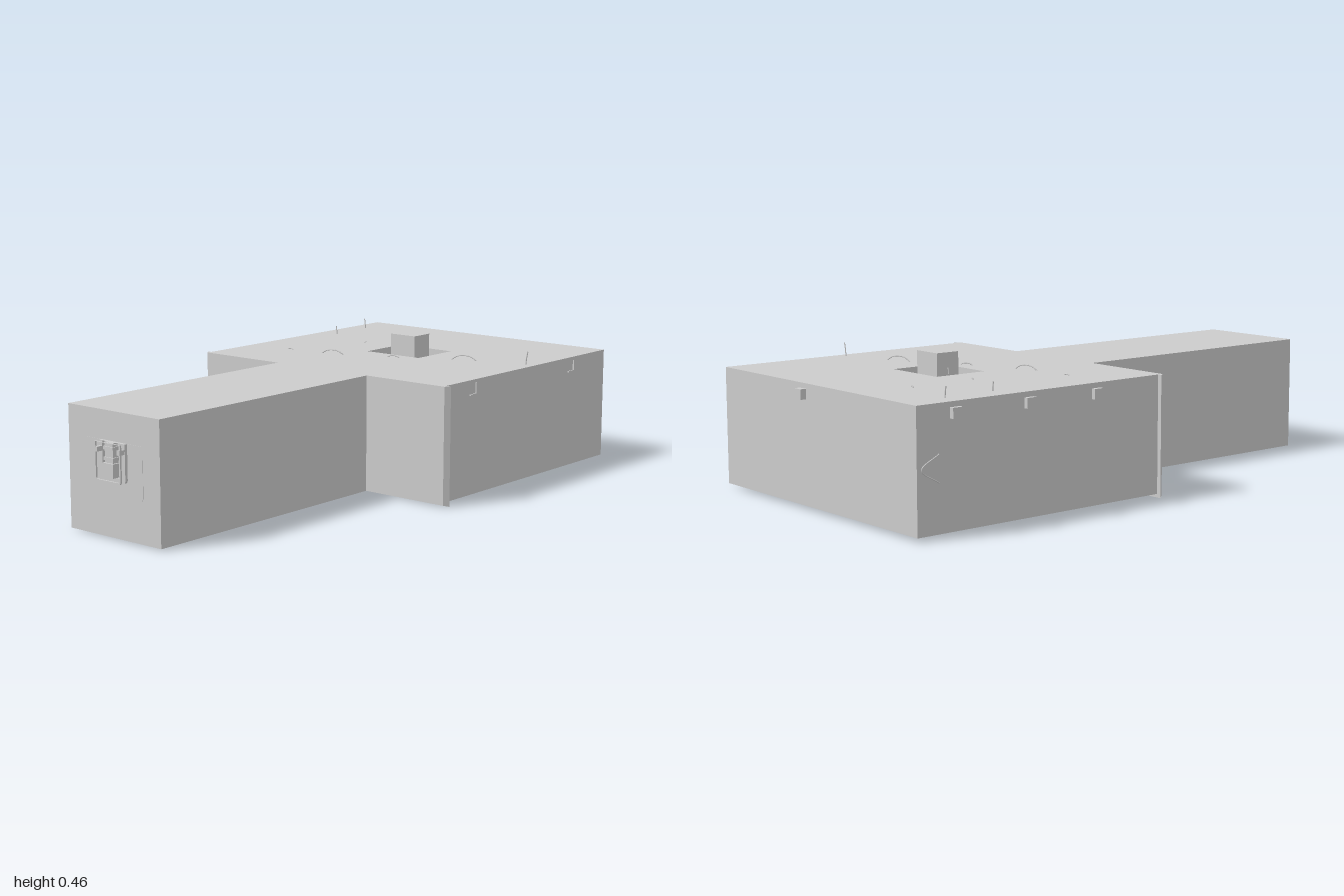
import * as THREE from 'three';

const material = new THREE.MeshStandardMaterial({ color: 0xcccccc, flatShading: true });
const smooth = new THREE.MeshStandardMaterial({ color: 0xcccccc });

export function createModel() {
  const model = new THREE.Group();
  const add = (name, geometry, mat = material) => {
    const mesh = new THREE.Mesh(geometry, mat);
    mesh.name = name;
    model.add(mesh);
    return mesh;
  };
  // Box given by its limits on each axis
  const box = (name, x0, x1, y0, y1, z0, z1) => {
    const mesh = add(name, new THREE.BoxGeometry(x1 - x0, y1 - y0, z1 - z0));
    mesh.position.set((x0 + x1) / 2, (y0 + y1) / 2, (z0 + z1) / 2);
    return mesh;
  };
  // Thin wire through a few points
  const wire = (name, points, radius = 0.002) => {
    const curve = new THREE.CatmullRomCurve3(points.map(p => new THREE.Vector3(...p)));
    return add(name, new THREE.TubeGeometry(curve, 16, radius, 6), smooth);
  };
  const rect = (path, x0, x1, y0, y1) =>
    path.moveTo(x0, y0).lineTo(x1, y0).lineTo(x1, y1).lineTo(x0, y1).closePath();
  // Plate outline with rounded lower corners
  const pocket = (path, x0, x1, y0, y1, r) => path
    .moveTo(x0, y1).lineTo(x0, y0 + r).quadraticCurveTo(x0, y0, x0 + r, y0)
    .lineTo(x1 - r, y0).quadraticCurveTo(x1, y0, x1, y0 + r).lineTo(x1, y1).closePath();
  const plate = (name, shape, depth, z) => {
    const g = new THREE.ExtrudeGeometry(shape, { depth, bevelEnabled: false, curveSegments: 5 });
    add(name, g).position.z = z;
  };

  // Main block with a square well in its roof
  const footprint = rect(new THREE.Shape(), -0.525, 0.522, 0.02, 0.98);
  footprint.holes.push(rect(new THREE.Path(), -0.107, 0.122, 0.4, 0.592));
  const block = new THREE.ExtrudeGeometry(footprint, { depth: 0.388, bevelEnabled: false });
  block.rotateX(-Math.PI / 2);
  add('mainBlock', block).position.y = 0.012;
  box('wellFloor', -0.107, 0.122, 0.012, 0.25, -0.592, -0.4);
  box('roofColumn', -0.044, 0.062, 0.25, 0.464, -0.542, -0.456);

  // Front wall plate, bevelled at the sides and the bottom
  const wall = new THREE.BoxGeometry(1.08, 0.4, 0.018);
  const p = wall.attributes.position;
  for (let i = 0; i < p.count; i++) {
    if (p.getZ(i) < 0) continue;
    p.setX(i, p.getX(i) * 0.976);
    if (p.getY(i) < 0) p.setY(i, -0.195);
  }
  wall.computeVertexNormals();
  add('frontWall', wall).position.set(0, 0.2, -0.016);

  // Long front wing
  box('frontWing', -0.19, 0.205, 0.005, 0.4, -0.02, 0.965);

  // Latch on the end of the wing
  plate('latchPanel', pocket(new THREE.Shape(), -0.108, 0.133, 0.136, 0.307, 0.018), 0.002, 0.964);
  const cup = pocket(new THREE.Shape(), -0.044, 0.068, 0.185, 0.307, 0.01);
  cup.holes.push(pocket(new THREE.Path(), -0.03, 0.054, 0.199, 0.3065, 0.008));
  plate('latchFrame', cup, 0.01, 0.966);
  const rim = pocket(new THREE.Shape(), -0.044, 0.068, 0.185, 0.307, 0.01);
  rim.holes.push(pocket(new THREE.Path(), -0.039, 0.063, 0.19, 0.3065, 0.008));
  plate('latchRim', rim, 0.006, 0.99);
  for (const x of [-0.036, 0.06]) box('latchLug', x - 0.006, x + 0.006, 0.275, 0.29, 0.966, 0.997);
  box('latchGrip', -0.011, 0.035, 0.2, 0.244, 0.966, 0.995);
  box('latchStem', -0.005, 0.029, 0.244, 0.307, 0.966, 0.988);
  for (const y of [0.257, 0.29]) box('latchBand', -0.009, 0.033, y - 0.005, y + 0.005, 0.966, 0.992);

  // Small blocks on the side and rear walls
  for (const z of [-0.84, -0.56, -0.29]) box('sideStop', -0.54, -0.524, 0.35, 0.383, z - 0.018, z + 0.018);
  box('rearStop', 0.046, 0.08, 0.35, 0.383, -1, -0.979);

  // Thin L-shaped hooks on the other side
  for (const z of [-0.76, -0.17]) {
    box('hookUpright', 0.521, 0.527, 0.35, 0.388, z - 0.019, z - 0.015);
    box('hookFoot', 0.521, 0.527, 0.348, 0.353, z - 0.019, z + 0.017);
  }

  // Wire loops on the roof and side
  const arch = (x0, z0, x1, z1, h) => wire('roofLoop',
    [[x0, 0.397, z0], [x0 * 0.75 + x1 * 0.25, 0.397 + h * 0.8, z0 * 0.75 + z1 * 0.25],
      [(x0 + x1) / 2, 0.397 + h, (z0 + z1) / 2],
      [x0 * 0.25 + x1 * 0.75, 0.397 + h * 0.8, z0 * 0.25 + z1 * 0.75], [x1, 0.397, z1]]);
  arch(-0.21, -0.26, -0.12, -0.284, 0.018);
  arch(0.225, -0.448, 0.318, -0.482, 0.02);
  arch(0.022, -0.342, 0.07, -0.362, 0.01);
  arch(-0.365, -0.256, -0.33, -0.254, 0.006);
  wire('sideLoop', [[-0.526, 0.25, -0.9], [-0.527, 0.21, -0.965], [-0.526, 0.165, -0.9]]);

  // Short wire stubs standing on the roof: x, z, height, lean
  for (const [x, z, h, lean] of [[-0.464, -0.83, 0.036, -0.005], [-0.45, -0.64, 0.03, -0.004],
    [0.487, -0.53, 0.046, 0.008], [-0.25, -0.785, 0.006, 0.012], [-0.24, -0.545, 0.006, 0.012],
    [-0.05, -0.5, 0.015, 0.003]]) {
    wire('roofStub', [[x, 0.395, z], [x + lean * 0.4, 0.4 + h * 0.5, z], [x + lean, 0.4 + h, z]]);
  }
  return model;
}
